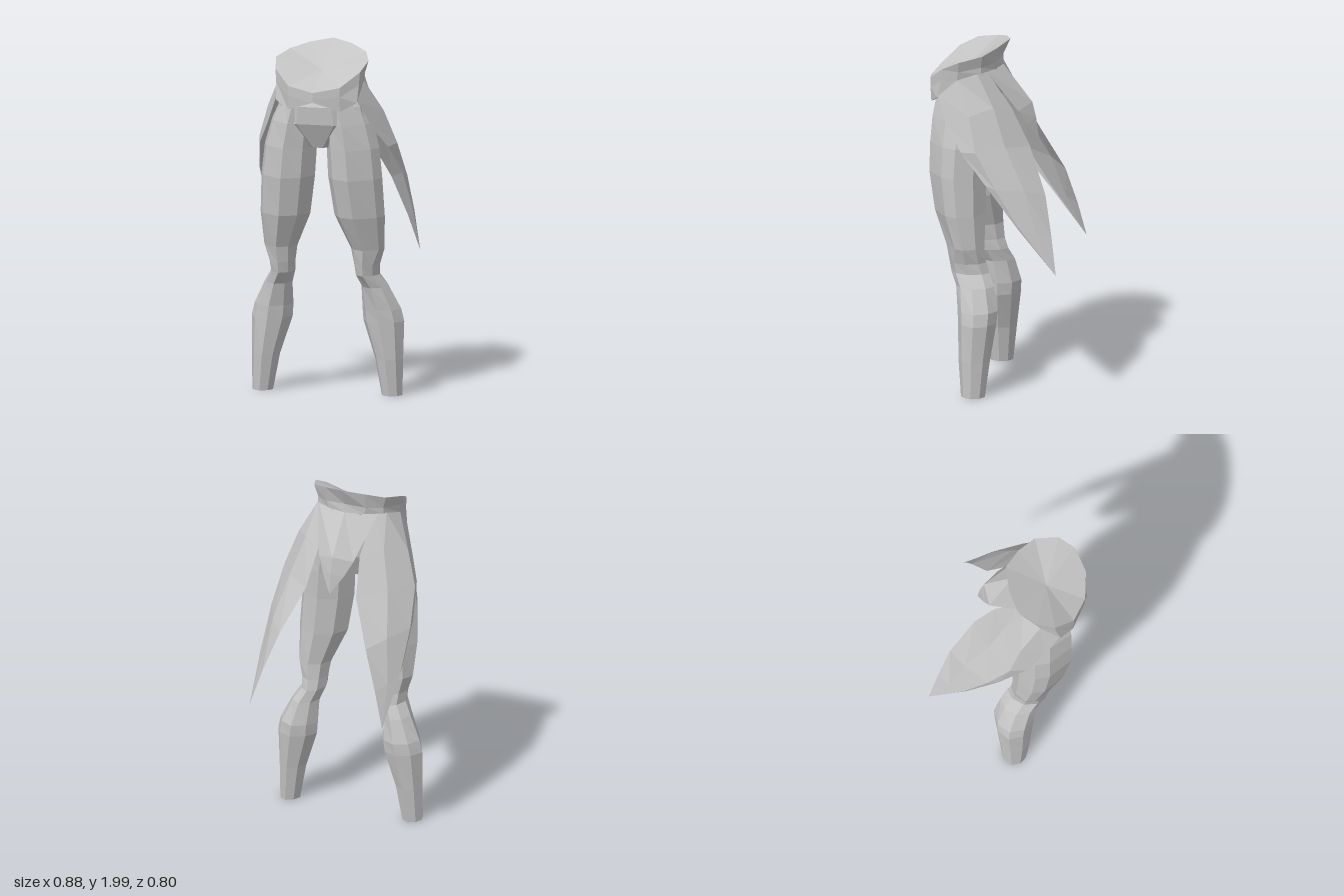
import * as THREE from 'three';

const cloth = new THREE.MeshStandardMaterial({ color: 0xc4c4c4, flatShading: true, side: THREE.DoubleSide });
cloth.name = 'grey cloth';

// Skin over rows of points, listed from the bottom up
function loft(name, rows, closed) {
  const pos = [];
  const tri = (a, b, c) => {
    const [p, q, r] = [a, b, c].map((v) => new THREE.Vector3(...v));
    if (q.clone().sub(p).cross(r.clone().sub(p)).length() > 1e-7) pos.push(...a, ...b, ...c);
  };
  for (let j = 0; j < rows.length - 1; j++) {
    const lo = rows[j], hi = rows[j + 1], n = lo.length;
    for (let i = 0; i < (closed ? n : n - 1); i++) {
      const k = (i + 1) % n;
      tri(lo[i], hi[i], hi[k]);
      tri(lo[i], hi[k], lo[k]);
    }
  }
  const geo = new THREE.BufferGeometry();
  geo.setAttribute('position', new THREE.Float32BufferAttribute(pos, 3));
  geo.computeVertexNormals();
  const mesh = new THREE.Mesh(geo, cloth);
  mesh.name = name;
  return mesh;
}

// Eight-sided sections filling an x and z range: calf, thigh (slanted outer front) and pelvis (flat front)
const CALF = [[1, 0], [0.67, 0.67], [0, 1], [-0.67, 0.67], [-1, 0], [-0.67, -0.67], [0, -1], [0.67, -0.67]];
const THIGH = [[1, -0.05], [0.8, 0.42], [0, 1], [-0.65, 0.67], [-1, 0], [-0.67, -0.67], [0, -1], [0.67, -0.67]];
const FLAT = [[1, 0.41], [0.41, 1], [-0.41, 1], [-1, 0.41], [-1, -0.41], [-0.41, -1], [0.41, -1], [1, -0.41]];
const section = (shape) => ([y, x0, x1, z0, z1, tilt = 0]) => shape.map(([u, v]) => [
  (x0 + x1) / 2 + u * (x1 - x0) / 2, y - tilt * v, (z0 + z1) / 2 + v * (z1 - z0) / 2]);

const flip = ([x, y, z]) => [-x, y, z];
const flipRows = (rows) => rows.map((row) => row.map(flip).reverse());
// Complete a half ring that runs from back centre to front centre
const fullRing = (half) => [...half, ...half.slice(1, -1).reverse().map(flip)];

export function createModel() {
  const group = new THREE.Group();
  group.name = 'trousers';

  // Legs, open at the ankle: y, inner x, outer x, back z, front z
  const calf = [
    [0.012, 0.315, 0.435, 0.01, 0.147],
    [0.22, 0.275, 0.438, -0.015, 0.165],
    [0.43, 0.205, 0.442, -0.045, 0.175],
    [0.5, 0.2, 0.425, -0.05, 0.18],
    [0.63, 0.2, 0.36, -0.02, 0.195],
    [0.7, 0.175, 0.315, 0.01, 0.23],
    [0.76, 0.17, 0.32, 0.03, 0.24],
  ].map(section(CALF));
  const thigh = [
    [0.85, 0.155, 0.348, 0.04, 0.255],
    [1.04, 0.07, 0.36, 0.04, 0.33],
    [1.26, 0.038, 0.35, 0.04, 0.367],
    [1.43, 0.028, 0.332, 0.03, 0.365],
    [1.57, 0.02, 0.293, 0.02, 0.357],
    [1.71, 0.02, 0.23, 0.03, 0.335],
  ].map(section(THIGH));
  const leg = [...calf, ...thigh];
  group.add(loft('leftLeg', leg, true), loft('rightLeg', flipRows(leg), true));

  // Pelvis closing the gap between the legs, its top sloping down to the front
  group.add(loft('pelvis', [
    [1.43, 0, 0, 0.19, 0.19],
    [1.43, -0.07, 0.07, 0.1, 0.28],
    [1.57, -0.265, 0.265, 0.025, 0.345],
    [1.67, -0.235, 0.235, 0.01, 0.352],
    [1.785, -0.21, 0.21, 0.005, 0.33, 0.075],
  ].map(section(FLAT)), true));

  // Flared waistband with a shallow closed top
  const lower = [[0, 1.85, -0.015], [0.11, 1.85, 0.01], [0.2, 1.845, 0.07], [0.245, 1.81, 0.2],
    [0.235, 1.7, 0.315], [0.15, 1.655, 0.365], [0, 1.705, 0.4]];
  const middle = [[0, 1.9, -0.01], [0.12, 1.89, 0.01], [0.2, 1.88, 0.07], [0.25, 1.86, 0.19],
    [0.24, 1.8, 0.29], [0.15, 1.735, 0.37], [0, 1.72, 0.4]];
  const rim = [[0, 2, -0.055], [0.12, 1.98, -0.01], [0.22, 1.95, 0.06], [0.268, 1.92, 0.185],
    [0.245, 1.87, 0.285], [0.15, 1.79, 0.37], [0, 1.76, 0.4]];
  const tuck = lower.map(([x, y, z]) => [x * 0.75, y + 0.01, 0.18 + (z - 0.18) * 0.75]);
  const centre = rim.map(() => [0, 1.85, 0.177]);
  group.add(loft('waistband', [tuck, lower, middle, rim, centre].map(fullRing), true));

  // Side coat tails, each row running from back edge to front edge
  const tip = [0.407, 0.755, -0.403];
  const tail = [
    [[0.15, 1.85, 0.05], [0.21, 1.845, 0.09], [0.245, 1.81, 0.2], [0.235, 1.71, 0.31]],
    [[0.128, 1.635, -0.09], [0.24, 1.66, -0.01], [0.335, 1.63, 0.11], [0.3, 1.56, 0.24]],
    [[0.155, 1.43, -0.2], [0.3, 1.45, -0.09], [0.4, 1.44, 0.06], [0.37, 1.43, 0.15]],
    [[0.265, 1.18, -0.313], [0.35, 1.22, -0.21], [0.425, 1.24, -0.06], [0.415, 1.26, 0]],
    [[0.345, 0.96, -0.365], [0.39, 0.98, -0.29], [0.428, 1.02, -0.2], [0.425, 1.03, -0.18]],
    [tip, tip, tip, tip],
  ].reverse();
  group.add(loft('leftTail', tail, false), loft('rightTail', flipRows(tail), false));

  // Back tail, folded down its centre: centre y, edge y, half width, centre z, edge z
  const backTail = [
    [1.43, 1.43, 0, -0.218, -0.218],
    [1.55, 1.53, 0.065, -0.202, -0.165],
    [1.64, 1.61, 0.105, -0.18, -0.125],
    [1.85, 1.85, 0.18, -0.015, 0.04],
  ].map(([yc, ye, w, zc, ze]) => [[-w, ye, ze], [0, yc, zc], [w, ye, ze]]);
  group.add(loft('backTail', backTail, false));

  return group;
}
